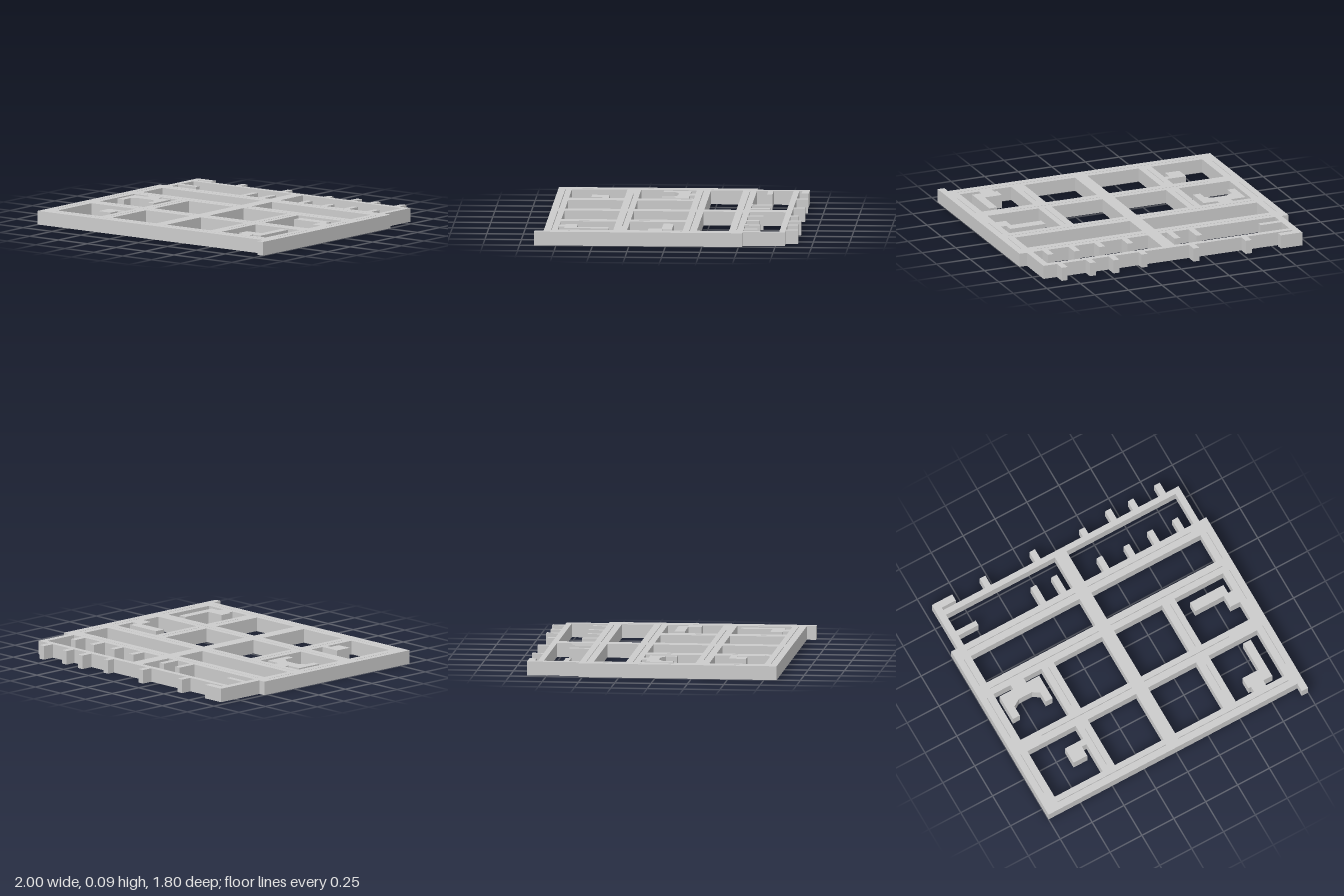
import * as THREE from 'three';

const HEIGHT = 0.095;
const material = new THREE.MeshStandardMaterial({ color: 0xcccccc, flatShading: true });

// Plan points are [x, z]; the extrusion is stood upright along y.
const toPlan = (pts) => pts.map(([x, z]) => new THREE.Vector2(x, -z));
const rect = (x0, x1, z0, z1) => [[x0, z0], [x1, z0], [x1, z1], [x0, z1]];

function slab(name, outline, holes = []) {
  const shape = new THREE.Shape(toPlan(outline));
  holes.forEach((h) => shape.holes.push(new THREE.Path(toPlan(h))));
  const geometry = new THREE.ExtrudeGeometry(shape, { depth: HEIGHT, bevelEnabled: false });
  geometry.rotateX(-Math.PI / 2);
  const mesh = new THREE.Mesh(geometry, material);
  mesh.name = name;
  return mesh;
}

export function createModel() {
  const model = new THREE.Group();
  model.name = 'floorPlanFrame';

  // Outer outline with the front corner tail and the hooked back corner
  const outline = [
    [-1, 0.837], [0.95, 0.837], [0.95, 0.9], [1, 0.9], [1, -0.525], [0.945, -0.525],
    [0.945, -0.815], [-0.9, -0.815], [-0.9, -0.835], [-0.79, -0.835], [-0.79, -0.885],
    [-0.95, -0.885], [-0.95, -0.525], [-1, -0.525],
  ];

  // Room openings: two wide rows at the back, two rows of four in front
  const holes = [];
  const wide = [[-0.9, -0.047], [0.045, 0.9]];
  const narrow = [[-0.9, -0.523], [-0.428, -0.047], [0.045, 0.422], [0.52, 0.9]];
  const rows = [
    [-0.775, -0.525, wide], [-0.43, -0.21, wide],
    [-0.113, 0.268, narrow], [0.363, 0.743, narrow],
  ];
  rows.forEach(([z0, z1, cols]) => cols.forEach(([x0, x1]) => holes.push(rect(x0, x1, z0, z1))));

  // Hairline slits along the middle of the beams
  const w = 0.002;
  [
    [-0.48, -0.9, -0.05], [-0.48, 0.045, 0.855], [-0.16, -0.9, -0.05], [-0.16, 0.045, 0.925],
    [0.31, -0.76, -0.05], [0.31, 0.045, 0.71], [0.786, -0.9, -0.05], [0.786, 0.045, 0.91],
  ].forEach(([z, x0, x1]) => holes.push(rect(x0, x1, z - w, z + w)));
  [
    [-0.952, -0.43, -0.21], [-0.952, -0.11, 0.22], [-0.952, 0.36, 0.68],
    [-0.476, -0.1, 0.22], [-0.476, 0.41, 0.71], [0.475, -0.09, 0.26], [0.475, 0.41, 0.62],
    [0.95, -0.43, -0.21], [0.95, -0.11, 0.13], [0.95, 0.35, 0.67],
  ].forEach(([x, z0, z1]) => holes.push(rect(x - w, x + w, z0, z1)));

  model.add(slab('frame', outline, holes));

  // Short wall stubs on the two rear beams: [left x, rear z]
  const stubs = (name, base, list) => {
    const group = new THREE.Group();
    group.name = name;
    list.forEach(([x, z]) => group.add(slab('wallStub', rect(x, x + 0.044, z, base))));
    model.add(group);
  };
  stubs('rearStubs', -0.815, [
    [-0.57, -0.893], [-0.18, -0.895], [0.195, -0.868], [0.417, -0.9], [0.588, -0.888], [0.802, -0.9],
  ]);
  stubs('innerStubs', -0.525, [
    [-0.3, -0.665], [-0.14, -0.66], [0.197, -0.63], [0.401, -0.615], [0.593, -0.628], [0.786, -0.62],
  ]);
  model.add(slab('sideStub', rect(-0.9, -0.743, -0.64, -0.602)));

  // Partition pieces inside the corner rooms
  model.add(slab('archPartition', [
    [-0.765, -0.113], [-0.663, -0.113], [-0.663, -0.078], [-0.561, -0.078], [-0.561, 0.11],
    [-0.615, 0.11], [-0.615, 0.035], [-0.663, 0.003], [-0.765, 0.003], [-0.818, 0.035],
    [-0.818, 0.11], [-0.872, 0.11], [-0.872, -0.078], [-0.765, -0.078],
  ]));
  model.add(slab('hookPartition', [
    [0.599, -0.037], [0.861, -0.037], [0.861, 0.029], [0.9, 0.029], [0.9, 0.126],
    [0.824, 0.126], [0.824, 0.035], [0.599, 0.035],
  ]));
  model.add(slab('cornerPartition', [
    [-0.523, 0.471], [-0.666, 0.471], [-0.666, 0.591], [-0.559, 0.591], [-0.559, 0.516], [-0.523, 0.516],
  ]));
  model.add(slab('steppedPartition', [
    [0.77, 0.401], [0.829, 0.401], [0.829, 0.703], [0.759, 0.703], [0.759, 0.743],
    [0.663, 0.743], [0.663, 0.703], [0.642, 0.703], [0.642, 0.618], [0.77, 0.618],
  ]));

  return model;
}
